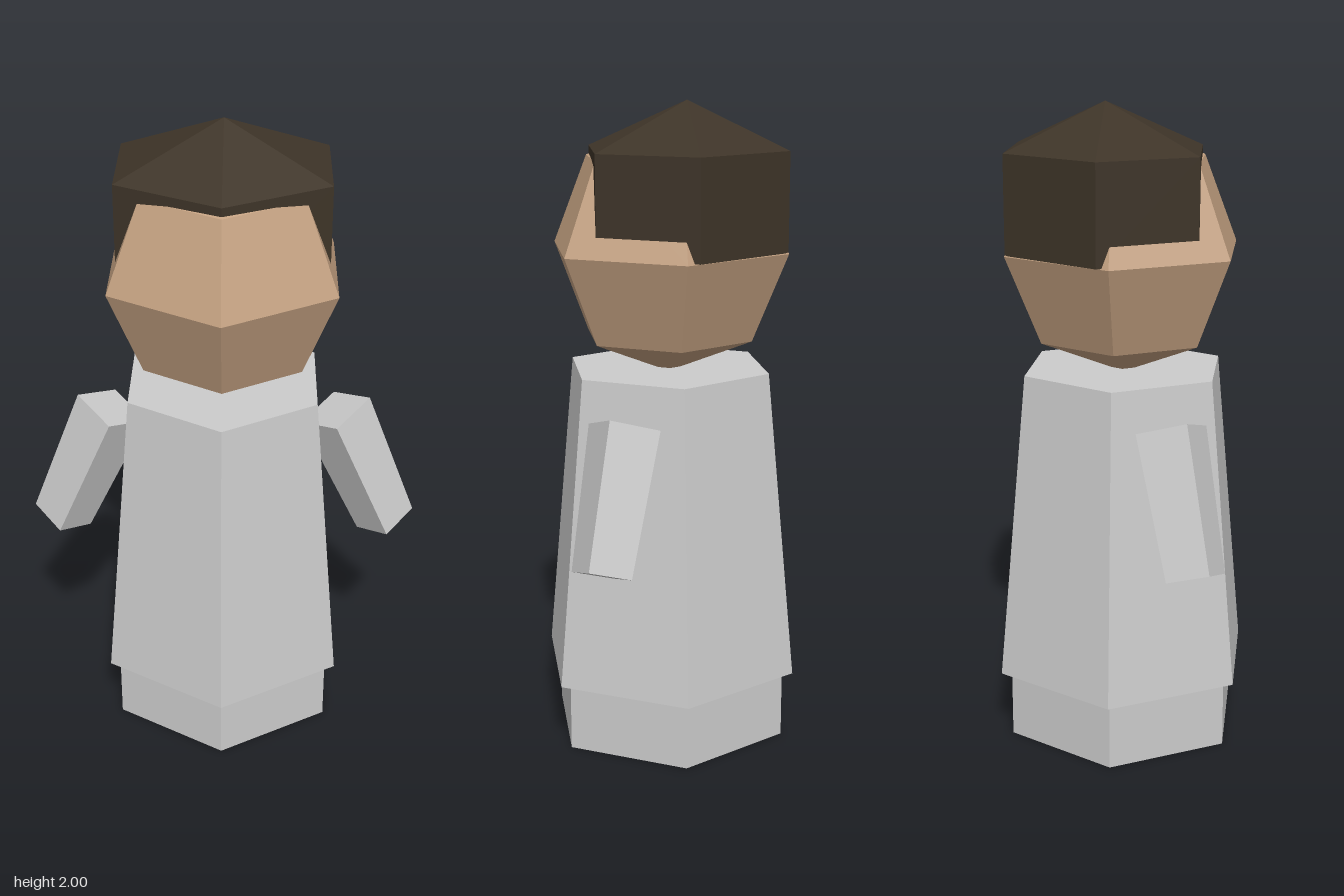
import * as THREE from 'three';

export function createModel() {
  const model = new THREE.Group();
  model.name = 'figure';

  const material = (name, color) => {
    const m = new THREE.MeshStandardMaterial({ color, flatShading: true });
    m.name = name;
    return m;
  };
  const cloth = material('pale grey cloth', 0xcccccc);
  const skin = material('skin', 0xc4a181);
  const hairColor = material('dark brown hair', 0x3e3428);

  const add = (name, geometry, mat, x, y, z, parent = model) => {
    const mesh = new THREE.Mesh(geometry, mat);
    mesh.name = name;
    mesh.position.set(x, y, z);
    parent.add(mesh);
    return mesh;
  };
  // Upright faceted prism between two heights
  const prism = (rTop, rBottom, y0, y1, sides = 6, open = false) =>
    new THREE.CylinderGeometry(rTop, rBottom, y1 - y0, sides, 1, open).translate(0, (y0 + y1) / 2, 0);

  // Hexagonal legs block and flared robe
  add('base', prism(0.39, 0.39, 0, 0.215), cloth, 0, 0, 0);
  add('robe', prism(0.33, 0.425, 0.215, 1.185), cloth, 0, 0, 0);

  // Head, with one corner facing forward
  add('head', new THREE.SphereGeometry(0.387, 6, 4, Math.PI / 2), skin, 0, 1.555, 0);

  // Hair cap set back so the face emerges through its front
  const hair = new THREE.Group();
  hair.name = 'hair';
  hair.position.z = -0.06;
  hair.scale.x = 1.11;
  model.add(hair);
  add('hairSides', prism(0.325, 0.325, 1.558, 1.858), hairColor, 0, 0, 0, hair);
  add('hairCrown', prism(0, 0.325, 1.858, 2, 6, true), hairColor, 0, 0, 0, hair);

  // Four-sided tapered arms, spread outward
  for (const side of [1, -1]) {
    const arm = add(side > 0 ? 'leftArm' : 'rightArm',
      new THREE.CylinderGeometry(0.115, 0.096, 0.441, 4), cloth, side * 0.4375, 0.868, 0);
    arm.rotation.z = side * 0.408;
  }
  return model;
}
